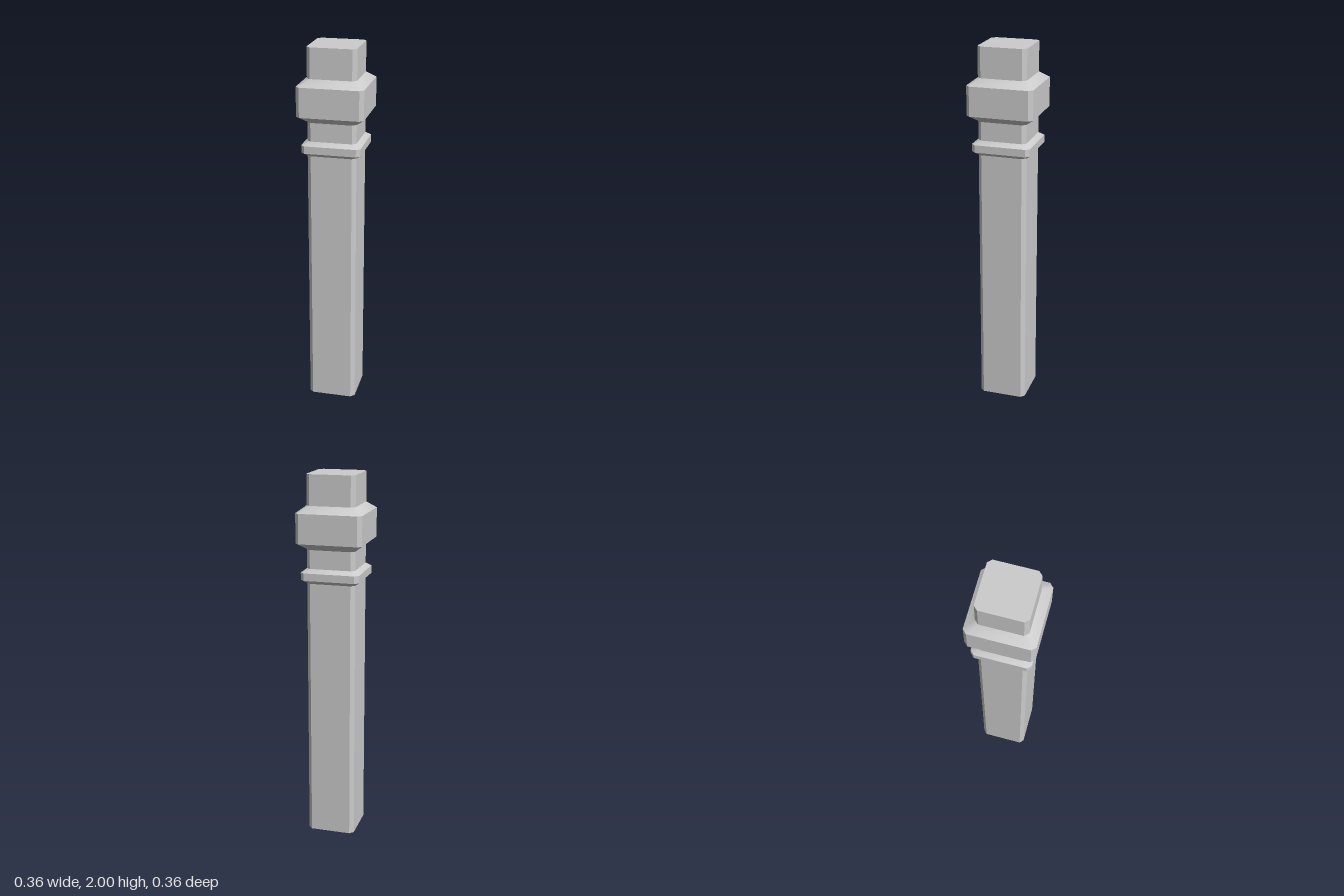
import * as THREE from 'three';
import { toCreasedNormals } from 'three/addons/utils/BufferGeometryUtils.js';

const CHAMFER = 0.021;
const SHAFT = 0.131, RING = 0.158, COLLAR = 0.178; // half widths

// Chamfered square outline at height y, counter-clockwise seen from above
function outline(half, y) {
  const a = half, b = half - CHAMFER;
  return [[a, b], [a, -b], [b, -a], [-b, -a], [-a, -b], [-a, b], [-b, a], [b, a]]
    .map(([x, z]) => [x, y, z]);
}

// Skin a stack of [halfWidth, height] outlines from bottom to top, with optional end caps
function loft(levels, capBottom = false, capTop = false) {
  const n = 8, positions = [], index = [];
  for (const [half, y] of levels) positions.push(...outline(half, y).flat());
  for (let k = 0; k < levels.length - 1; k++) {
    for (let i = 0; i < n; i++) {
      const a = k * n + i, b = k * n + (i + 1) % n;
      index.push(a, b, b + n, a, b + n, a + n);
    }
  }
  const top = (levels.length - 1) * n;
  for (let i = 1; i < n - 1; i++) {
    if (capBottom) index.push(0, i + 1, i);
    if (capTop) index.push(top, top + i, top + i + 1);
  }
  const geometry = new THREE.BufferGeometry();
  geometry.setAttribute('position', new THREE.Float32BufferAttribute(positions, 3));
  geometry.setIndex(index);
  // Blends the sloped corners while the bevel edges stay sharp
  return toCreasedNormals(geometry, 0.56);
}

export function createModel() {
  const post = new THREE.Group();
  post.name = 'post';
  const material = new THREE.MeshStandardMaterial({ color: 0xcccccc });
  const add = (name, ...args) => {
    const mesh = new THREE.Mesh(loft(...args), material);
    mesh.name = name;
    post.add(mesh);
  };

  // Long lower shaft
  add('shaft', [[SHAFT, 0], [SHAFT, 1.43]], true);
  // Thin bevelled ring
  add('ring', [[SHAFT, 1.43], [RING, 1.45], [RING, 1.49], [SHAFT, 1.51]]);
  // Short neck between ring and collar
  add('neck', [[SHAFT, 1.51], [SHAFT, 1.61]]);
  // Broad bevelled collar
  add('collar', [[SHAFT, 1.61], [COLLAR, 1.646], [COLLAR, 1.803], [SHAFT, 1.839]]);
  // Flat-topped head
  add('head', [[SHAFT, 1.839], [SHAFT, 2]], false, true);

  return post;
}
